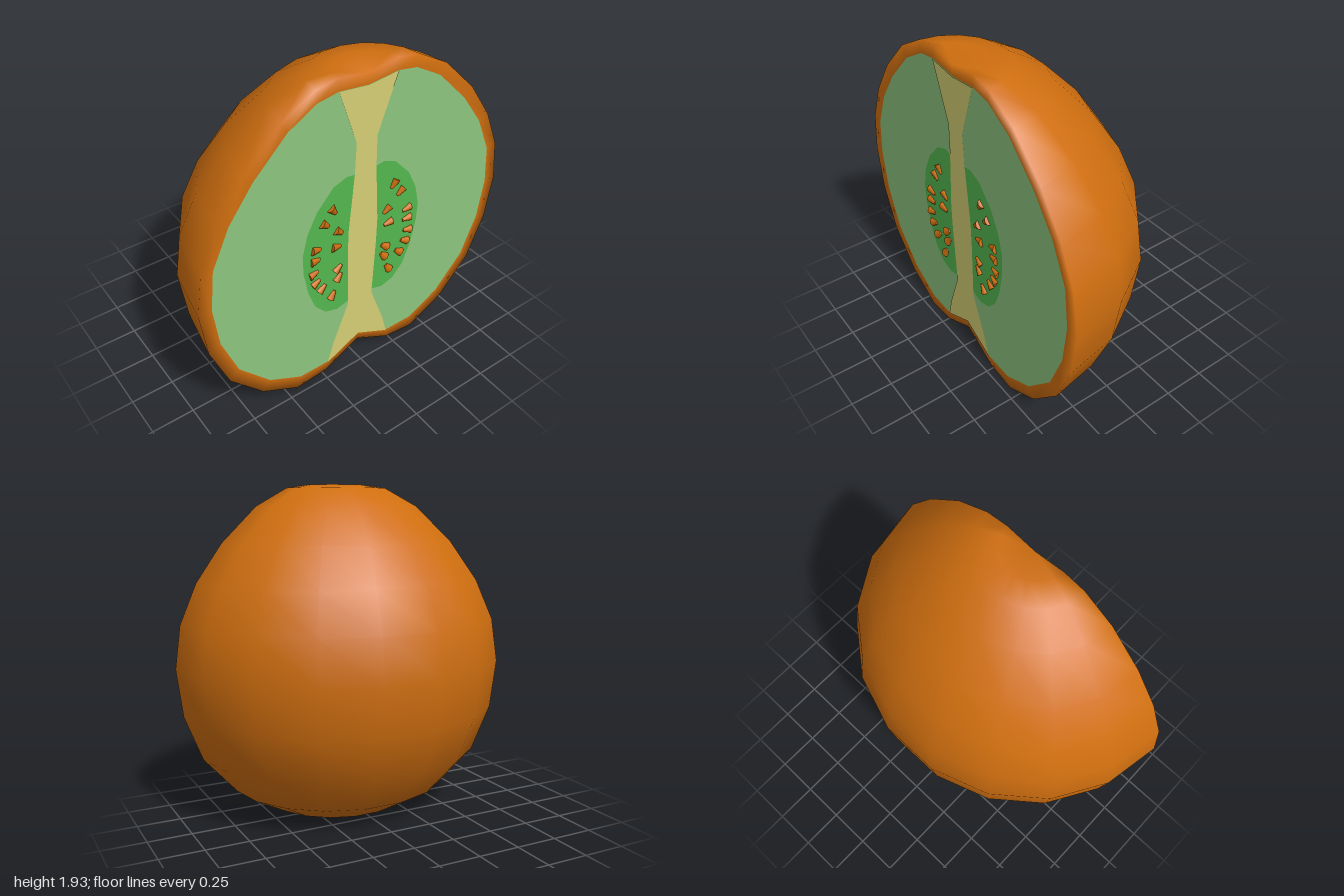
import * as THREE from 'three';
import { mergeVertices } from 'three/addons/utils/BufferGeometryUtils.js';

const CUT = 0.46; // z of the flat cut face
const DEPTH = 0.957; // flattening of the half body

const skin = new THREE.MeshStandardMaterial({ color: 0xcf6e0f });
skin.name = 'orange skin';
const flesh = new THREE.MeshStandardMaterial({ color: 0x8cc47d });
flesh.name = 'pale green flesh';
const podGreen = new THREE.MeshStandardMaterial({ color: 0x54b84f });
podGreen.name = 'deep green pod';
const cream = new THREE.MeshStandardMaterial({ color: 0xd4ce74 });
cream.name = 'cream core';

// Half profiles from bottom to top: outer skin and inner edge of the rim
const OUTER = [[0, 0.14], [0.23, 0.02], [0.43, 0], [0.66, 0.125], [0.86, 0.35], [0.965, 0.62], [1, 0.9],
  [0.965, 1.15], [0.865, 1.38], [0.71, 1.6], [0.5, 1.805], [0.31, 1.91], [0.18, 1.93], [0, 1.905]];
const INNER = [[0, 0.19], [0.22, 0.08], [0.41, 0.08], [0.615, 0.19], [0.8, 0.4], [0.895, 0.65], [0.925, 0.9],
  [0.9, 1.14], [0.8, 1.36], [0.66, 1.55], [0.465, 1.745], [0.3, 1.84], [0.18, 1.86], [0, 1.84]];
const CORE = [[0, 0.19], [0.22, 0.08], [0.18, 0.22], [0.085, 0.47], [0.097, 0.85], [0.097, 1],
  [0.07, 1.35], [0.065, 1.54], [0.18, 1.86], [0, 1.84]];
const POD = [[0.07, 0.5], [0.16, 0.475], [0.24, 0.5], [0.31, 0.58], [0.355, 0.7], [0.385, 0.85], [0.39, 0.97],
  [0.36, 1.1], [0.3, 1.22], [0.2, 1.33], [0.12, 1.36], [0.06, 1.35]];
const SEEDS = [[0.2, 1.185], [0.25, 1.115], [0.16, 1.03], [0.175, 0.935], [0.305, 0.975], [0.31, 0.905],
  [0.32, 0.82], [0.305, 0.75], [0.265, 0.69], [0.155, 0.715], [0.16, 0.78], [0.195, 0.605]];

// Half body of revolution with the flat rim joined on, smooth across the edge
function skinGeometry() {
  const columns = [INNER.map(([x, y]) => [x, y, CUT])];
  for (let j = 0; j <= 9; j++) {
    const a = (j / 9) * Math.PI;
    columns.push(OUTER.map(([r, y]) => [r * Math.cos(a), y, CUT - DEPTH * r * Math.sin(a)]));
  }
  columns.push(INNER.map(([x, y]) => [-x, y, CUT]));
  const n = OUTER.length;
  const index = [];
  for (let j = 0; j < columns.length - 1; j++) {
    for (let i = 0; i < n - 1; i++) {
      const a = j * n + i, b = a + n;
      index.push(a, b, a + 1, b + 1, a + 1, b);
    }
  }
  const geo = new THREE.BufferGeometry();
  geo.setAttribute('position', new THREE.Float32BufferAttribute(columns.flat(2), 3));
  geo.setIndex(index);
  const merged = mergeVertices(geo, 1e-4);
  merged.computeVertexNormals();
  return merged;
}

// Flat face drawn from an outline
function plate(points, z, material, name) {
  const shape = new THREE.Shape(points.map(([x, y]) => new THREE.Vector2(x, y)));
  const mesh = new THREE.Mesh(new THREE.ShapeGeometry(shape), material);
  mesh.position.z = z;
  mesh.name = name;
  return mesh;
}

const flip = (points) => points.map(([x, y]) => [-x, y]).reverse();
const symmetric = (points) => [...points, ...flip(points).slice(1, -1)];

export function createModel() {
  const model = new THREE.Group();
  model.name = 'halvedFruit';

  const shell = new THREE.Mesh(skinGeometry(), skin);
  shell.name = 'skin';
  model.add(shell);

  // Cut face layers
  model.add(plate(symmetric(INNER), CUT, flesh, 'flesh'));
  model.add(plate(POD, CUT + 0.002, podGreen, 'leftSeedPod'));
  model.add(plate(flip(POD), CUT + 0.002, podGreen, 'rightSeedPod'));
  model.add(plate(symmetric(CORE), CUT + 0.004, cream, 'core'));

  // Tapered seeds with their narrow ends toward the core
  const seedGeo = new THREE.CylinderGeometry(0.012, 0.027, 0.056, 8);
  const seeds = new THREE.Group();
  seeds.name = 'seeds';
  for (const side of [1, -1]) {
    for (const [x, y] of SEEDS) {
      const seed = new THREE.Mesh(seedGeo, skin);
      seed.name = 'seed';
      seed.position.set(side * x, y, CUT);
      seed.rotation.z = Math.atan2(0.9 - y, -side * x) - Math.PI / 2;
      seed.scale.z = 0.85;
      seeds.add(seed);
    }
  }
  model.add(seeds);
  return model;
}
